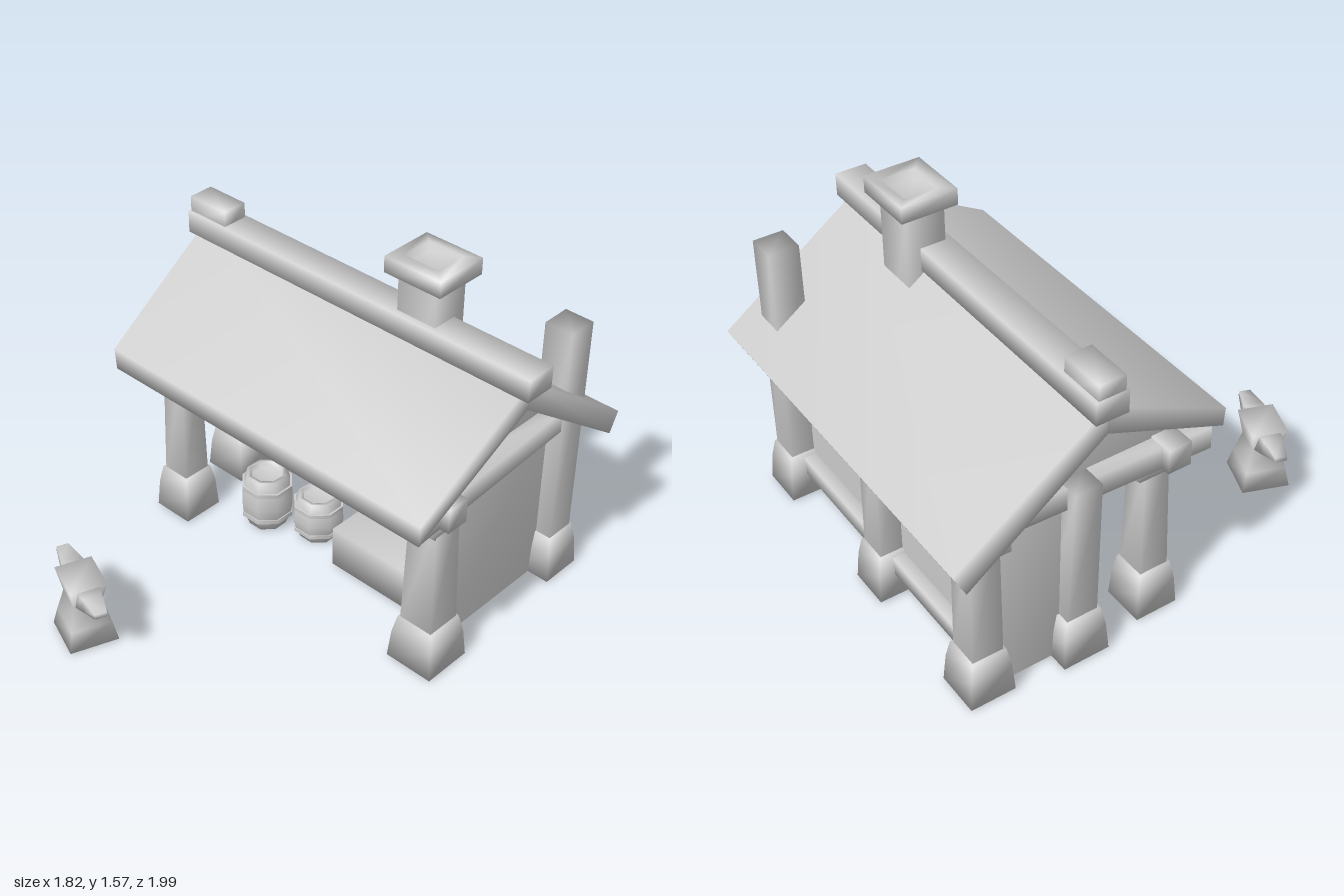
import * as THREE from 'three';

const stone = new THREE.MeshStandardMaterial({ color: 0xcccccc });
stone.name = 'plain grey';

// Smooth solid skinned over a list of rings of [x, y, z] points, capped at both ends
function solid(name, rings) {
  const n = rings[0].length;
  const pts = rings.flat();
  const index = [];
  for (let r = 0; r < rings.length - 1; r++) {
    for (let i = 0; i < n; i++) {
      const a = r * n + i, b = r * n + (i + 1) % n;
      index.push(a, a + n, b, b, a + n, b + n);
    }
  }
  const last = (rings.length - 1) * n;
  for (let i = 1; i < n - 1; i++) {
    index.push(0, i, i + 1, last, last + i + 1, last + i);
  }
  // Turn the faces outward
  let volume = 0;
  const p = pts.map((q) => new THREE.Vector3(...q));
  for (let i = 0; i < index.length; i += 3) {
    volume += p[index[i]].dot(p[index[i + 1]].clone().cross(p[index[i + 2]]));
  }
  if (volume < 0) index.reverse();
  const g = new THREE.BufferGeometry();
  g.setAttribute('position', new THREE.Float32BufferAttribute(pts.flat(), 3));
  g.setIndex(index);
  g.computeVertexNormals();
  const mesh = new THREE.Mesh(g, stone);
  mesh.name = name;
  return mesh;
}

// Rectangle at height y, and at depth z
const rect = (y, x0, x1, z0, z1) => [[x0, y, z0], [x1, y, z0], [x1, y, z1], [x0, y, z1]];
const upright = (z, x0, x1, y0, y1) => [[x0, y0, z], [x1, y0, z], [x1, y1, z], [x0, y1, z]];
const square = (y, x, z, h) => rect(y, x - h, x + h, z - h, z + h);
const box = (name, x0, x1, y0, y1, z0, z1) =>
  solid(name, [rect(y0, x0, x1, z0, z1), rect(y1, x0, x1, z0, z1)]);

// Post on a stone foot; foot, low and high are half widths, the top may lean sideways
function pillar(name, x, z, top, foot, low, high, lean = 0) {
  const g = new THREE.Group();
  g.name = name;
  g.add(solid('pillarFoot', [
    square(0.01, x, z, foot), square(0.14, x, z, foot * 0.91), square(0.22, x, z, foot * 0.77)]));
  g.add(solid('pillarShaft', [square(0.2, x, z, low), square(top, x + lean, z, high)]));
  return g;
}

// Barrel with a sunken lid and two hoops
function barrel(x, z, r, h) {
  const g = new THREE.Group();
  g.name = 'barrel';
  const profile = [[0, 0], [0.72, 0], [0.93, 0.25], [1, 0.5], [0.93, 0.78], [0.76, 1], [0.62, 1], [0.58, 0.9], [0, 0.9]];
  const body = new THREE.Mesh(
    new THREE.LatheGeometry(profile.map(([a, b]) => new THREE.Vector2(a * r, b * h)), 8), stone);
  body.name = 'barrelBody';
  g.add(body);
  for (const t of [0.24, 0.78]) {
    const hoop = new THREE.Mesh(new THREE.CylinderGeometry(r * 0.98, r * 0.98, h * 0.08, 8), stone);
    hoop.name = 'barrelHoop';
    hoop.position.y = t * h;
    g.add(hoop);
  }
  g.position.set(x, 0.005, z);
  g.rotation.y = Math.PI / 8;
  return g;
}

export function createModel() {
  const model = new THREE.Group();
  model.name = 'smithy';
  const add = (...m) => model.add(...m);

  // Pillars
  add(pillar('frontLeftPillar', 0.712, -0.02, 0.8, 0.113, 0.08, 0.067),
    pillar('frontRightPillar', -0.702, -0.02, 0.8, 0.097, 0.066, 0.055),
    pillar('middleRightPillar', -0.745, -0.4, 0.88, 0.105, 0.07, 0.06, -0.04),
    pillar('backRightPillar', -0.72, -0.812, 0.85, 0.1, 0.068, 0.064),
    pillar('backMiddlePillar', -0.04, -0.812, 0.85, 0.095, 0.064, 0.06),
    pillar('tallBackPillar', 0.705, -0.812, 1.25, 0.098, 0.068, 0.067));
  for (const [x, h] of [[-0.702, 0.057], [0.712, 0.069]]) {
    add(solid('pillarBracket', [
      rect(0.7, x - h, x + h, -0.1, 0.055), rect(0.785, x - h, x + h, -0.18, 0.142)]));
  }

  // Ceiling beams
  for (const [x, h] of [[-0.725, 0.095], [0.022, 0.078], [0.715, 0.1]]) {
    add(solid('crossBeam', [
      upright(0.185, x - h, x + h, 0.78, 0.88), upright(-0.77, x - 0.06, x + 0.05, 0.78, 0.88)]));
  }
  add(box('frontBeam', -0.85, 0.85, 0.78, 0.89, -0.04, 0.065),
    box('backBeam', -0.85, 0.76, 0.77, 0.86, -0.84, -0.74));

  // Walls and rails
  add(box('backWall', -0.7, 0.68, 0.01, 0.85, -0.775, -0.74),
    box('leftWall', 0.65, 0.7, 0.01, 0.85, -0.76, -0.1),
    box('rightHalfWall', -0.76, -0.71, 0.01, 0.85, -0.78, -0.4));
  for (const y of [0.12, 0.48]) {
    add(box('backRail', -0.71, 0.69, y, y + 0.08, -0.83, -0.72));
  }

  // Gables
  const gable = (x) => [[x, 0.85, 0.22], [x, 1.165, -0.35], [x, 0.85, -0.775]];
  for (const x of [-0.74, 0.66]) add(solid('gable', [gable(x), gable(x + 0.04)]));

  // Roof slabs: [z, y, right edge x] around each slope
  const slope = (name, profile) => add(solid(name, [
    profile.map(([z, y, x]) => [x, y, z]),
    profile.map(([z, y]) => [0.865, y, z])]));
  slope('frontRoof', [[0.255, 0.935, -0.81], [-0.35, 1.265, -0.88], [-0.35, 1.145, -0.88], [0.257, 0.842, -0.8]]);
  slope('backRoof', [[-0.35, 1.265, -0.875], [-1, 0.8, -0.872], [-0.955, 0.71, -0.89], [-0.35, 1.145, -0.88]]);
  add(box('ridgeBeam', -0.91, 0.91, 1.232, 1.332, -0.425, -0.283),
    box('ridgeBlock', -0.905, -0.7, 1.29, 1.4, -0.412, -0.295));

  // Chimney with a hollow cap
  add(box('chimney', 0.24, 0.432, 0.66, 1.51, -0.483, -0.312),
    solid('chimneyCap', [
      rect(1.5, 0.24, 0.43, -0.48, -0.32), rect(1.5, 0.197, 0.477, -0.523, -0.275),
      rect(1.572, 0.197, 0.477, -0.523, -0.275), rect(1.572, 0.245, 0.415, -0.48, -0.333),
      rect(1.53, 0.25, 0.41, -0.475, -0.338)]));

  // Forge: hearth, tapering back and hood
  const trapezoid = (y, b0, b1, f0, f1, z0, z1) => [[b0, y, z0], [b1, y, z0], [f1, y, z1], [f0, y, z1]];
  add(box('hearth', 0.055, 0.66, 0.01, 0.205, -0.75, -0.165),
    solid('hearthBack', [
      trapezoid(0.2, 0.06, 0.64, 0.11, 0.62, -0.74, -0.5),
      trapezoid(0.45, 0.13, 0.545, 0.18, 0.53, -0.62, -0.44)]),
    solid('hood', [
      rect(0.42, 0.125, 0.55, -0.63, -0.17), rect(0.475, 0.13, 0.545, -0.625, -0.175),
      rect(0.62, 0.21, 0.465, -0.52, -0.28), rect(0.675, 0.235, 0.437, -0.49, -0.305)]));

  // Barrels
  add(barrel(-0.142, -0.285, 0.118, 0.215), barrel(-0.37, -0.195, 0.121, 0.265));

  // Anvil
  const anvil = new THREE.Group();
  anvil.name = 'anvil';
  anvil.add(solid('anvilBody', [
    square(0.01, 0, 0, 0.106), square(0.1, 0, 0, 0.088), square(0.21, 0, 0, 0.062),
    rect(0.312, -0.095, 0.095, -0.08, 0.08)]));
  const hornRing = (x, y0, y1, h) => [[x, y0, -h], [x, y1, -h], [x, y1, h], [x, y0, h]];
  for (const s of [-1, 1]) {
    anvil.add(solid('anvilHorn', [
      hornRing(s * 0.05, 0.205, 0.311, 0.055),
      hornRing(s * 0.13, 0.235, 0.307, 0.042),
      hornRing(s * 0.232, 0.275, 0.297, 0.026)]));
  }
  anvil.position.set(-0.395, 0, 0.852);
  anvil.rotation.y = -0.36;
  add(anvil);

  return model;
}
